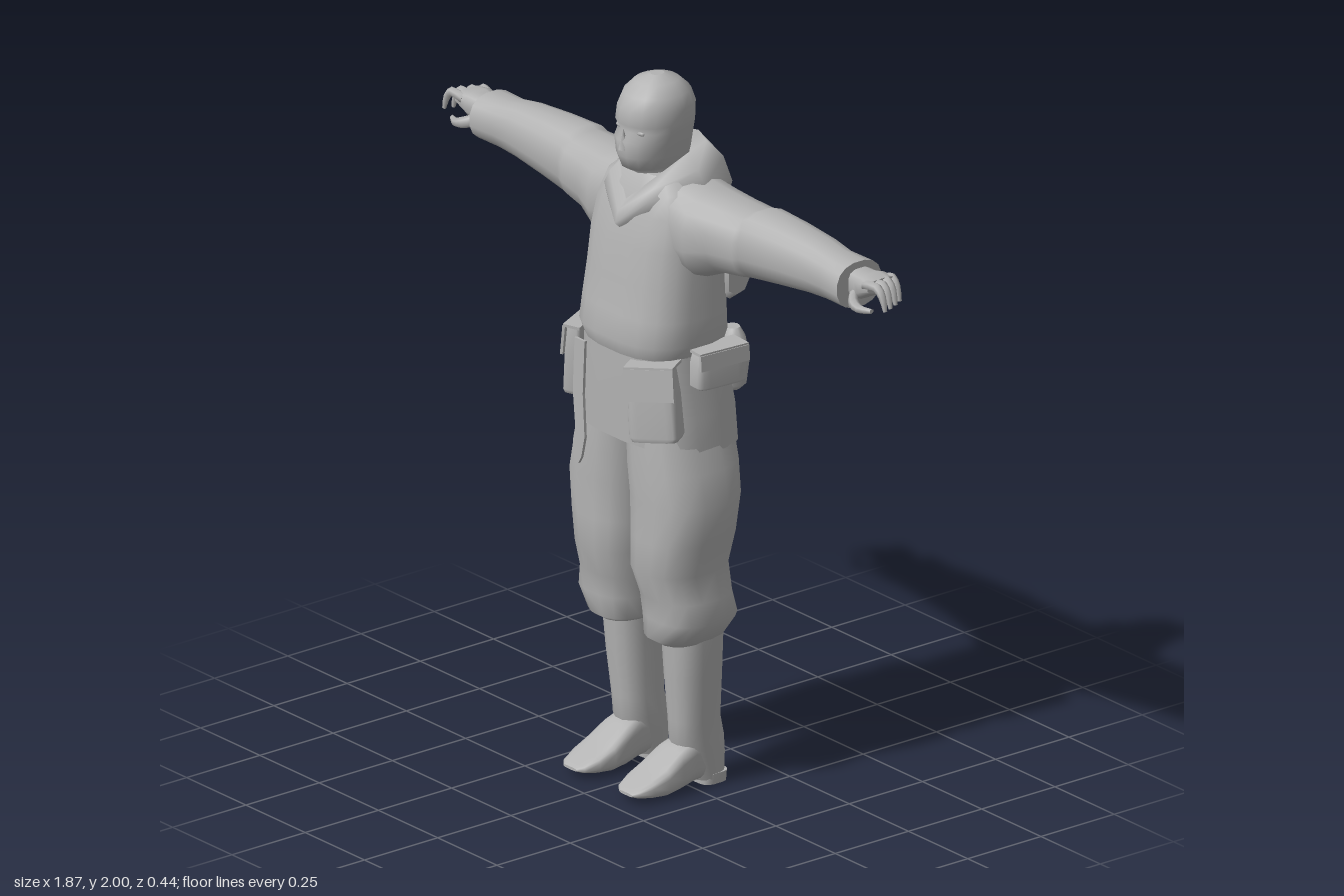
import * as THREE from 'three';

const cloth = new THREE.MeshStandardMaterial({ color: 0xb3b3b3, side: THREE.DoubleSide });
cloth.name = 'plain grey';

// Smooth skin over rows of points; closed rows wrap around, caps get their own crisp vertices.
function skin(rows, { closed = true, caps = true } = {}) {
  const n = rows[0].length, pos = rows.flat(2), index = [];
  for (let i = 0; i < rows.length - 1; i++) {
    for (let j = 0; j < (closed ? n : n - 1); j++) {
      const k = (j + 1) % n, a = i * n + j, b = a + n, c = i * n + k, d = c + n;
      index.push(a, b, c, b, d, c);
    }
  }
  if (caps) {
    [rows[0], rows[rows.length - 1]].forEach((row, end) => {
      const s = pos.length / 3;
      pos.push(...row.flat());
      for (let j = 1; j < n - 1; j++) index.push(s, ...(end ? [s + j + 1, s + j] : [s + j, s + j + 1]));
    });
  }
  const g = new THREE.BufferGeometry();
  g.setAttribute('position', new THREE.Float32BufferAttribute(pos, 3));
  g.setIndex(index);
  g.computeVertexNormals();
  return g;
}

// Loft of rounded sections along an axis: [position, min1, max1, min2, max2].
// Along y the pairs are x,z; along x they are y,z; along z they are x,y.
function loft(axis, sections, e = 0.8, n = 16) {
  const soft = v => Math.sign(v) * Math.abs(v) ** e;
  return skin(sections.map(([p, a0, a1, b0, b1]) => Array.from({ length: n }, (_, j) => {
    const t = (j + 0.5) / n * Math.PI * 2;
    const a = (a0 + a1) / 2 + (a1 - a0) / 2 * soft(Math.cos(t));
    const b = (b0 + b1) / 2 + (b1 - b0) / 2 * soft(Math.sin(t)) * (axis === 'y' ? 1 : -1);
    return axis === 'y' ? [a, p, b] : axis === 'x' ? [p, a, b] : [a, b, p];
  })));
}

// Tapering finger along a path.
function finger(points, r) {
  const curve = new THREE.CatmullRomCurve3(points.map(p => new THREE.Vector3(...p)));
  const side = new THREE.Vector3(0, 0, 1), rows = [];
  for (let i = 0; i <= 6; i++) {
    const c = curve.getPoint(i / 6), up = side.clone().cross(curve.getTangent(i / 6)).normalize();
    const rad = r * (1 - 0.6 * (i / 6) ** 2);
    rows.push(Array.from({ length: 6 }, (_, j) => {
      const t = -j / 6 * Math.PI * 2;
      return c.clone().addScaledVector(up, Math.cos(t) * rad).addScaledVector(side, Math.sin(t) * rad).toArray();
    }));
  }
  return skin(rows);
}

function mirror(g) {
  const m = g.clone().scale(-1, 1, 1), ix = m.index.array;
  for (let i = 0; i < ix.length; i += 3) [ix[i], ix[i + 1]] = [ix[i + 1], ix[i]];
  m.computeVertexNormals();
  return m;
}

export function createModel() {
  const model = new THREE.Group();
  model.name = 'figure';
  const add = (name, geo, parent = model) => {
    const m = new THREE.Mesh(geo, cloth);
    m.name = name;
    parent.add(m);
    return m;
  };
  const pair = (name, geo) => { add('left' + name, geo); add('right' + name, mirror(geo)); };
  const sym = (y, x, z0, z1) => [y, -x, x, z0, z1];

  // Jacket body and flared skirt
  add('jacket', loft('y', [
    sym(1.25, 0.19, -0.14, 0.165), sym(1.29, 0.203, -0.15, 0.178), sym(1.36, 0.203, -0.145, 0.165),
    sym(1.45, 0.198, -0.14, 0.15), sym(1.55, 0.195, -0.15, 0.138), sym(1.64, 0.19, -0.155, 0.115),
    sym(1.7, 0.165, -0.145, 0.095), sym(1.74, 0.11, -0.12, 0.07)], 0.75, 20));
  const skirt = loft('y', [
    sym(0.99, 0.222, -0.175, 0.16), sym(1.08, 0.214, -0.17, 0.162), sym(1.18, 0.2, -0.155, 0.165),
    sym(1.27, 0.19, -0.14, 0.165)], 0.75, 20);
  const sp = skirt.attributes.position;
  for (let i = 0; i < sp.count; i++) if (sp.getY(i) < 1) sp.setY(i, 0.985 + sp.getZ(i) * 0.1);
  skirt.computeVertexNormals();
  add('jacketSkirt', skirt);

  // Sleeves with an open cuff step, then wrists and palms
  pair('Sleeve', loft('x', [
    [0.1, 1.48, 1.735, -0.15, 0.09], [0.2, 1.475, 1.72, -0.155, 0.08], [0.27, 1.505, 1.71, -0.155, 0.058],
    [0.36, 1.515, 1.705, -0.155, 0.04], [0.38, 1.52, 1.713, -0.155, 0.036], [0.5, 1.535, 1.71, -0.145, 0.022],
    [0.62, 1.55, 1.702, -0.135, 0.012], [0.69, 1.555, 1.69, -0.13, 0.008], [0.775, 1.557, 1.688, -0.138, 0.015]], 0.85));
  pair('Palm', loft('x', [
    [0.74, 1.585, 1.67, -0.105, -0.025], [0.8, 1.59, 1.668, -0.108, -0.022],
    [0.83, 1.605, 1.672, -0.115, -0.012], [0.87, 1.63, 1.668, -0.112, -0.012]], 0.7, 12));
  [[-0.103, 0.895], [-0.077, 0.91], [-0.05, 0.922], [-0.025, 0.93]].forEach(([z, tip], i) => pair('Finger' + (i + 1), finger(
    [[0.845, 1.65, z], [tip - 0.035, 1.658, z], [tip - 0.013, 1.638, z], [tip, 1.6, z]], 0.014)));
  pair('Thumb', finger([[0.79, 1.61, -0.03], [0.82, 1.598, -0.005], [0.85, 1.59, 0], [0.885, 1.59, -0.015]], 0.017));

  // Masked head and neck
  add('head', loft('y', [
    sym(1.64, 0.06, -0.08, 0.05), sym(1.735, 0.06, -0.085, 0.075), sym(1.755, 0.068, -0.09, 0.11),
    sym(1.79, 0.08, -0.095, 0.122), sym(1.835, 0.088, -0.1, 0.125), sym(1.86, 0.092, -0.102, 0.108),
    sym(1.88, 0.095, -0.104, 0.118), sym(1.92, 0.094, -0.105, 0.112), sym(1.955, 0.084, -0.092, 0.095),
    sym(1.985, 0.056, -0.06, 0.064), sym(2, 0.016, -0.02, 0.02)], 0.95));
  add('noseRidge', new THREE.ConeGeometry(0.016, 0.06, 6).translate(0, 1.84, 0.116));
  pair('Eye', new THREE.SphereGeometry(0.014, 10, 6).scale(1.5, 0.6, 0.6).translate(0.038, 1.862, 0.092));

  // Lowered hood: half profiles from front to back, mirrored into full rings
  const ring = half => [...half, ...half.slice(1, -1).reverse().map(([x, y, z]) => [-x, y, z])]
    .map(([x, y, z]) => [-x, y, z]);
  add('hood', skin([
    ring([[0, 1.59, 0.13], [0.09, 1.65, 0.1], [0.155, 1.69, -0.02], [0.12, 1.64, -0.14], [0, 1.6, -0.175]]),
    ring([[0, 1.605, 0.145], [0.095, 1.685, 0.105], [0.17, 1.72, -0.025], [0.125, 1.69, -0.155], [0, 1.66, -0.203]]),
    ring([[0, 1.64, 0.135], [0.09, 1.715, 0.09], [0.135, 1.755, -0.03], [0.1, 1.755, -0.145], [0, 1.745, -0.185]]),
    ring([[0, 1.665, 0.11], [0.075, 1.74, 0.07], [0.09, 1.79, -0.03], [0.07, 1.8, -0.11], [0, 1.8, -0.14]]),
    ring([[0, 1.66, 0.08], [0.06, 1.71, 0.06], [0.07, 1.74, -0.02], [0.05, 1.74, -0.08], [0, 1.74, -0.09]]),
  ].map(r => r.reverse().map(([x, y, z]) => [-x, y, z]).map(([x, y, z]) => [-x, y, z])).map(r => r.reverse()),
  { caps: false }));

  // Baggy trousers gathered below the knee
  pair('TrouserLeg', loft('y', [
    [0.425, 0.05, 0.19, -0.1, 0.09], [0.44, 0.03, 0.205, -0.11, 0.112], [0.5, 0.02, 0.25, -0.122, 0.118],
    [0.56, 0.015, 0.238, -0.112, 0.122], [0.64, 0.006, 0.23, -0.108, 0.148], [0.73, -0.002, 0.25, -0.122, 0.147],
    [0.84, -0.008, 0.264, -0.132, 0.147], [0.93, -0.015, 0.24, -0.142, 0.15], [1.06, -0.02, 0.2, -0.14, 0.145]], 0.8));

  // Boots: shaft, foot, heel
  pair('BootShaft', loft('y', [
    [0.015, 0.07, 0.168, -0.115, -0.015], [0.08, 0.065, 0.172, -0.118, 0.02], [0.13, 0.06, 0.175, -0.115, 0.04],
    [0.19, 0.06, 0.178, -0.1, 0.043], [0.32, 0.055, 0.19, -0.1, 0.056], [0.45, 0.05, 0.2, -0.1, 0.065]], 0.85));
  pair('BootFoot', loft('z', [
    [-0.06, 0.07, 0.165, 0.02, 0.13], [0.0, 0.062, 0.17, 0.015, 0.14], [0.05, 0.053, 0.176, 0.006, 0.118],
    [0.1, 0.05, 0.18, 0.002, 0.082], [0.15, 0.054, 0.176, 0.008, 0.057], [0.19, 0.07, 0.162, 0.016, 0.037],
    [0.203, 0.09, 0.145, 0.02, 0.028]], 0.6));
  pair('BootHeel', loft('y', [[0, 0.07, 0.168, -0.115, -0.03], [0.03, 0.068, 0.17, -0.117, -0.028]], 0.6));

  // Belt pouches: bulging bag with a folded flap
  const pouch = (name, [w, h, d], p, r) => {
    const g = new THREE.Group();
    g.name = name;
    const s = (y, k) => sym(y * h, w / 2 * k, -d / 2 * k, d / 2 * k);
    add('bag', loft('y', [s(-0.5, 0.9), s(-0.44, 1), s(0.1, 0.96), s(0.45, 0.85), s(0.5, 0.75)], 0.35), g);
    add('flap', new THREE.BoxGeometry(w * 0.98, h * 0.42, 0.008).rotateX(-0.06).translate(0, h * 0.27, d / 2), g);
    add('flapTop', new THREE.BoxGeometry(w * 0.98, 0.008, d).translate(0, h * 0.49, 0), g);
    g.position.set(...p);
    g.rotation.set(...r, 'YXZ');
    model.add(g);
  };
  pouch('leftFrontPouch', [0.14, 0.21, 0.085], [0.162, 1.145, 0.14], [-0.05, 0.6, 0.08]);
  pouch('rightFrontPouch', [0.12, 0.2, 0.05], [-0.195, 1.165, 0.105], [-0.05, -1.15, -0.05]);
  pouch('leftSidePouch', [0.16, 0.105, 0.07], [0.215, 1.225, -0.03], [0, 1.5, 0]);

  // Round flask at the back of the belt
  const flask = add('flask', loft('y', [
    sym(-0.09, 0.025, -0.02, 0.02), sym(-0.07, 0.05, -0.036, 0.036), sym(0, 0.062, -0.044, 0.044),
    sym(0.055, 0.048, -0.036, 0.036), sym(0.085, 0.022, -0.02, 0.02)], 0.9, 10));
  flask.position.set(0.125, 1.19, -0.155);
  flask.rotation.y = -0.4;

  // Hanging sheath strip in front
  const outline = [[-0.022, 0.35], [0.02, 0.35], [0.018, 0.2], [0.03, 0.08], [0.018, 0.02], [0.006, 0],
    [-0.012, 0.01], [-0.018, 0.06], [-0.01, 0.1], [-0.024, 0.2]];
  const sheath = add('sheath', new THREE.ExtrudeGeometry(
    new THREE.Shape(outline.map(p => new THREE.Vector2(...p))), { depth: 0.008, bevelEnabled: false }));
  sheath.position.set(-0.102, 0.9, 0.185);
  sheath.rotation.x = -0.03;

  // Back pack roll with ends drawn in, and its straps
  const profile = [[-0.1, 1.385], [-0.13, 1.365], [-0.17, 1.375], [-0.217, 1.46], [-0.205, 1.51], [-0.175, 1.56], [-0.1, 1.565]];
  add('backPack', skin([[-0.178, 0.78], [-0.145, 1], [0.145, 1], [0.178, 0.78]].map(([x, k]) =>
    profile.map(([z, y]) => [x, 1.47 + (y - 1.47) * k, -0.1 + (z + 0.1) * k]))));
  const strapPath = [[-0.15, 1.62], [-0.182, 1.565], [-0.213, 1.51], [-0.224, 1.46], [-0.178, 1.37], [-0.155, 1.34], [-0.155, 1.25]];
  add('packStrap', skin(strapPath.map(([z, y]) => [[-0.012, y, z], [0.012, y, z]]), { closed: false, caps: false }));
  pair('ShoulderStrap', skin([[0, 1.56, -0.186], [0.06, 1.62, -0.166], [0.1, 1.68, -0.15]].map(([x, y, z]) =>
    [[x - 0.012, y, z], [x + 0.012, y, z]]), { closed: false, caps: false }));
  return model;
}
